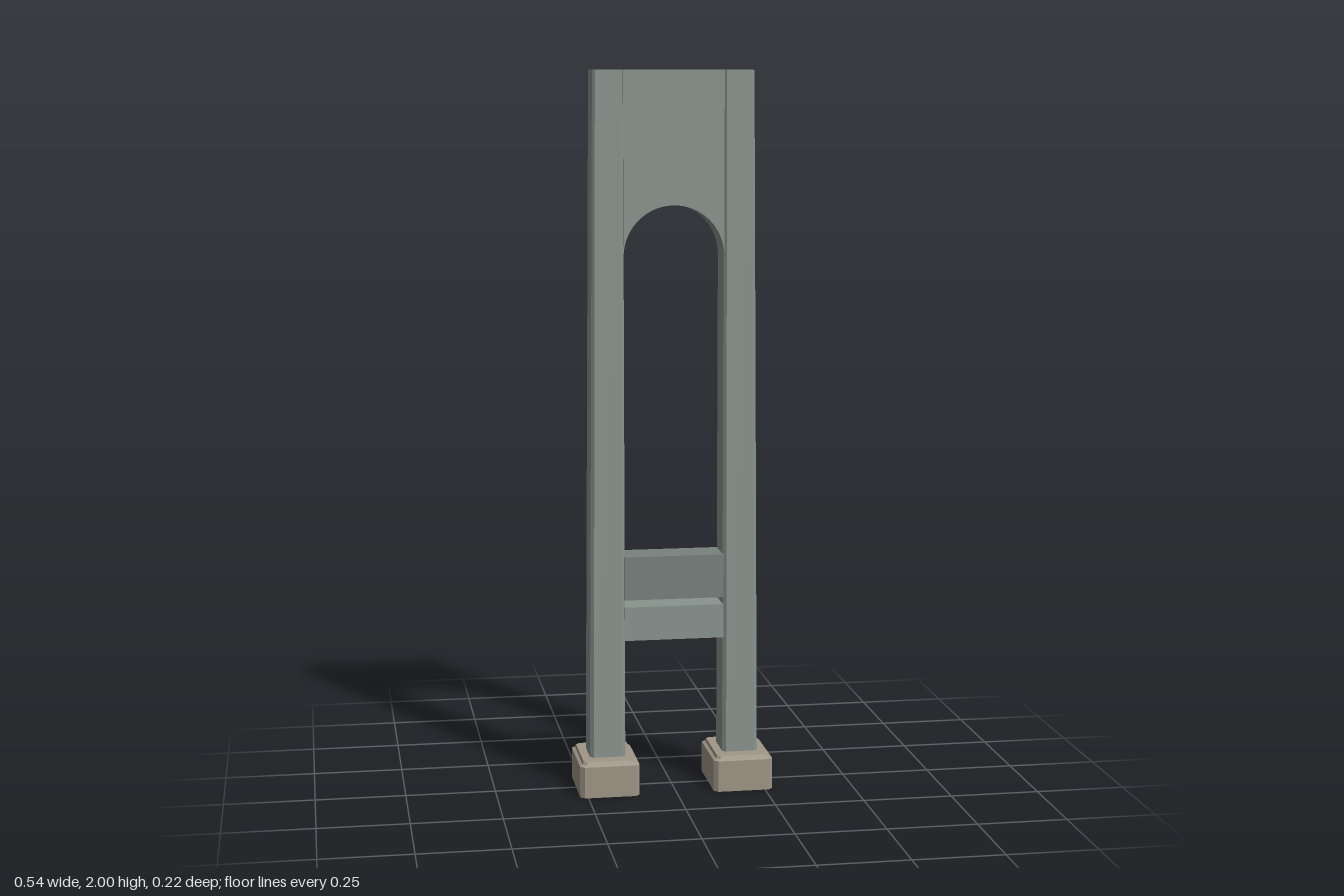
import * as THREE from 'three';

const paint = (color) => new THREE.MeshStandardMaterial({ color, flatShading: true, side: THREE.DoubleSide });

// Rectangle with cut corners, lying level at height y
function ring(x0, x1, z, y, cut) {
  return [
    [x0 + cut, z], [x1 - cut, z], [x1, z - cut], [x1, -z + cut],
    [x1 - cut, -z], [x0 + cut, -z], [x0, -z + cut], [x0, z - cut],
  ].map(([x, d]) => new THREE.Vector3(x, y, d));
}

// Skin a stack of rings, optionally closing the last one
function loft(rings, capTop) {
  const pos = [];
  const tri = (...pts) => pts.forEach((p) => pos.push(p.x, p.y, p.z));
  const n = rings[0].length;
  for (let r = 0; r < rings.length - 1; r++) {
    for (let i = 0; i < n; i++) {
      const j = (i + 1) % n;
      const a = rings[r][i], b = rings[r][j], c = rings[r + 1][j], d = rings[r + 1][i];
      tri(a, b, c);
      tri(a, c, d);
    }
  }
  if (capTop) {
    const top = rings[rings.length - 1];
    for (let i = 1; i < n - 1; i++) tri(top[0], top[i], top[i + 1]);
  }
  const geo = new THREE.BufferGeometry();
  geo.setAttribute('position', new THREE.Float32BufferAttribute(pos, 3));
  geo.computeVertexNormals();
  return geo;
}

// Half depth of the tapering frame at height y
const halfDepth = (y) => THREE.MathUtils.mapLinear(y, 0.1, 2, 0.056, 0.048);

// Panel between the legs, with a round arch cut from its lower edge
function archPanel() {
  const w = 0.139, spring = 1.497;
  const shape = new THREE.Shape();
  shape.moveTo(-w, 2);
  shape.lineTo(-w, spring);
  shape.absarc(0, spring, w, Math.PI, 0, true);
  shape.lineTo(w, 2);
  shape.closePath();
  const geo = new THREE.ExtrudeGeometry(shape, { depth: 2, bevelEnabled: false, curveSegments: 24 });
  geo.translate(0, 0, -1);
  const p = geo.attributes.position;
  for (let i = 0; i < p.count; i++) p.setZ(i, p.getZ(i) * (halfDepth(p.getY(i)) - 0.0005));
  geo.computeVertexNormals();
  return geo;
}

export function createModel() {
  const model = new THREE.Group();
  const metal = paint(0x8a948f), darkMetal = paint(0x78827f), stone = paint(0xa09786);
  const add = (name, geo, mat) => {
    const mesh = new THREE.Mesh(geo, mat);
    mesh.name = name;
    model.add(mesh);
  };

  for (const [side, s] of [['left', 1], ['right', -1]]) {
    // Inner and outer x swap over on the mirrored side
    const section = (inner, outer, z, y, cut) =>
      ring(Math.min(s * inner, s * outer), Math.max(s * inner, s * outer), z, y, cut);

    // Hollow tapering leg
    add(side + 'Leg', loft([
      section(0.138, 0.238, halfDepth(0.1), 0.1, 0.01),
      section(0.138, 0.222, halfDepth(2), 2, 0.007),
    ], true), metal);

    // Footing with a small stepped rim, open underneath and under the leg
    add(side + 'Foot', loft([
      section(0.105, 0.272, 0.108, 0, 0.012),
      section(0.105, 0.272, 0.108, 0.088, 0.012),
      section(0.113, 0.264, 0.1, 0.092, 0.01),
      section(0.116, 0.261, 0.097, 0.1, 0.01),
      section(0.138, 0.238, halfDepth(0.1), 0.1, 0.01),
    ], false), stone);
  }

  add('archPanel', archPanel(), metal);

  // Two cross beams low between the legs
  for (const [name, y0, y1, mat] of [['upperBeam', 0.545, 0.667, darkMetal], ['lowerBeam', 0.43, 0.525, metal]]) {
    const beam = new THREE.BoxGeometry(0.28, y1 - y0, 0.104);
    beam.translate(0, (y0 + y1) / 2, 0);
    add(name, beam, mat);
  }
  return model;
}
